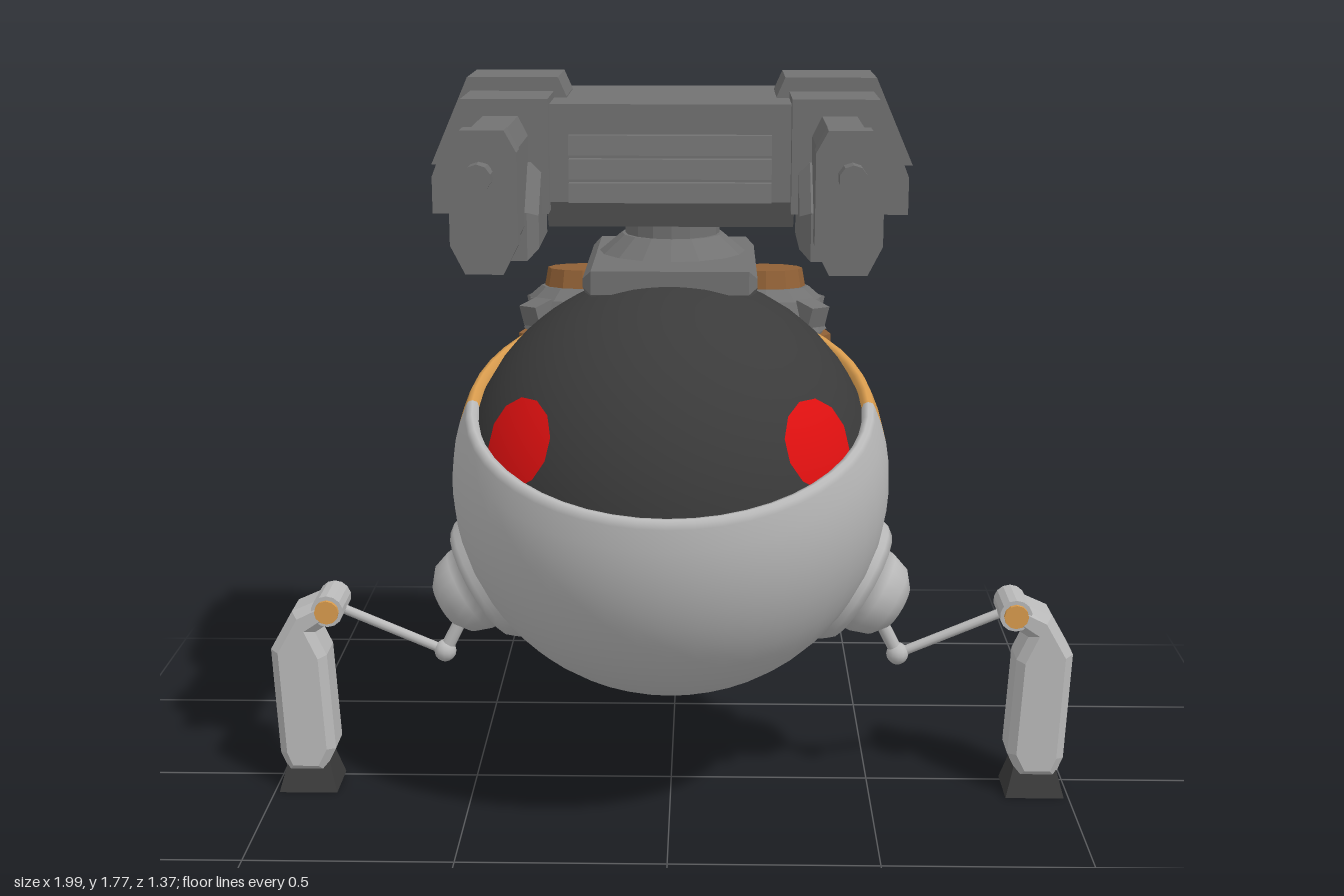
import * as THREE from 'three';

const mat = (name, color) => Object.assign(new THREE.MeshStandardMaterial({ color }), { name });

export function createModel() {
  const M = {
    shell: mat('light grey', 0xbababa), orange: mat('orange', 0xd99c4e), dark: mat('charcoal', 0x3b3b3b),
    steel: mat('steel grey', 0x727272), brown: mat('brown', 0x916136), green: mat('lime', 0x9ed036),
    red: mat('red', 0xe01010),
  };
  const root = new THREE.Group();
  root.name = 'robot';
  const V = (x, y, z) => new THREE.Vector3(x, y, z);
  const P = (a) => a.map(([x, y]) => new THREE.Vector2(x, y));

  function add(parent, name, geo, material, x = 0, y = 0, z = 0) {
    const m = new THREE.Mesh(geo, material);
    m.name = name;
    m.position.set(x, y, z);
    parent.add(m);
    return m;
  }
  function group(parent, name, x = 0, y = 0, z = 0) {
    const g = new THREE.Group();
    g.name = name;
    g.position.set(x, y, z);
    parent.add(g);
    return g;
  }
  function flat(g) {
    const f = g.toNonIndexed();
    f.computeVertexNormals();
    return f;
  }
  // Outline in x,y extruded from z0 to z1, edges bevelled inward
  function prism(pts, z0, z1, b = 0) {
    const g = new THREE.ExtrudeGeometry(new THREE.Shape(P(pts)), {
      depth: z1 - z0 - 2 * b, bevelEnabled: b > 0, bevelThickness: b, bevelSize: b, bevelOffset: -b, bevelSegments: 1,
    });
    return g.translate(0, 0, z0 + b);
  }
  // Outline in z,y extruded across x, centred
  const sideways = (pts, w, b = 0) => prism(pts, -w / 2, w / 2, b).rotateY(-Math.PI / 2);
  const box = (w, h, d) => new THREE.BoxGeometry(w, h, d);
  const cyl = (rt, rb, h, n) => flat(new THREE.CylinderGeometry(rt, rb, h, n));
  function taperBox(w, h, d, kx, kz) {
    const g = box(w, h, d), p = g.attributes.position;
    for (let i = 0; i < p.count; i++)
      if (p.getY(i) > 0) { p.setX(i, p.getX(i) * kx); p.setZ(i, p.getZ(i) * kz); }
    return flat(g);
  }
  function rod(parent, name, a, b, r, material) {
    const m = add(parent, name, new THREE.CylinderGeometry(r, r, a.distanceTo(b), 10), material);
    m.position.copy(a).lerp(b, 0.5);
    m.quaternion.setFromUnitVectors(V(0, 1, 0), b.clone().sub(a).normalize());
  }

  // Round body: dark dome inside a tilted two-tone shell with a rolled rim
  const body = group(root, 'body', 0, 0.82, 0.07);
  body.rotation.x = 0.35;
  add(body, 'dome', new THREE.SphereGeometry(0.5, 40, 28), M.dark);
  const profile = [], R = 0.53, rim = 1.17;
  for (let i = 0; i <= 20; i++) {
    const t = Math.PI + (rim - Math.PI) * i / 20;
    profile.push([R * Math.sin(t), R * Math.cos(t)]);
  }
  profile[0][0] = 0;
  profile.push([0.482, 0.219], [0.471, 0.223], [0.46, 0.218], [0.455, 0.2]);
  const half = (start) => new THREE.LatheGeometry(P(profile), 24, start, Math.PI);
  add(body, 'frontShell', half(-Math.PI / 2), M.shell);
  add(body, 'backShell', half(Math.PI / 2), M.orange);

  // Eyes, legs, guns and canisters, once for each side
  for (const s of [1, -1]) {
    const mx = (a) => a.map(([x, y]) => [x * s, y]);
    const up = V(0, 1, 0);

    const eye = add(root, 'eye', new THREE.SphereGeometry(0.507, 12, 4, 0, Math.PI * 2, 0, 0.21), M.red, 0, 0.82, 0.07);
    eye.quaternion.setFromUnitVectors(up, V(0.68 * s, 0.34, 0.64).normalize());

    // Hip socket pointing outward and down
    const leg = group(root, 'leg');
    const hub = add(leg, 'hipSocket', new THREE.LatheGeometry(P([
      [0.19, 0.43], [0.165, 0.525], [0.15, 0.545], [0.112, 0.55], [0.11, 0.58], [0.095, 0.625], [0.06, 0.655], [0, 0.668],
    ]), 20), M.shell, 0, 0.82, 0.05);
    hub.quaternion.setFromUnitVectors(up, V(0.86 * s, -0.515, 0).normalize());

    // Thin linkage
    const hip = V(0.51 * s, 0.47, 0.045), knee = V(0.567 * s, 0.358, 0.045), ankle = V(0.85 * s, 0.48, 0.045);
    rod(leg, 'hipRod', hip, knee, 0.017, M.shell);
    rod(leg, 'kneeRod', knee, ankle, 0.012, M.shell);
    add(leg, 'kneeBall', new THREE.SphereGeometry(0.028, 12, 8), M.shell, knee.x, knee.y, knee.z);
    add(leg, 'anklePin', cyl(0.03, 0.03, 0.145, 12).rotateX(Math.PI / 2), M.orange, ankle.x, ankle.y, ankle.z);
    add(leg, 'ankleRing', cyl(0.04, 0.04, 0.125, 14).rotateX(Math.PI / 2), M.shell, ankle.x, ankle.y, ankle.z);

    // Lower leg and foot
    add(leg, 'lowerLeg', prism(mx([
      [0.85, 0.515], [0.94, 0.475], [0.997, 0.375], [0.985, 0.1], [0.965, 0.05], [0.875, 0.05],
      [0.845, 0.11], [0.858, 0.36], [0.885, 0.42], [0.84, 0.45],
    ]), -0.02, 0.11, 0.02), M.shell);
    add(leg, 'foot', taperBox(0.146, 0.1, 0.136, 0.62, 0.5), M.dark, 0.915 * s, 0.05, 0.048);

    // Side pod with raised sleeve
    const arm = group(root, 'weapon');
    add(arm, 'sidePod', prism(mx([[0.28, 1.743], [0.48, 1.743], [0.55, 1.565], [0.55, 1.48], [0.28, 1.48]]), -0.385, 0.17), M.steel);
    add(arm, 'podSleeve', prism(mx([[0.27, 1.775], [0.487, 1.775], [0.578, 1.567], [0.25, 1.567], [0.25, 1.73]]), -0.262, -0.038), M.steel);

    // Gun
    const gun = [[-0.04, 0.15], [0.04, 0.15], [0.062, 0.105], [0.062, -0.085], [0.035, -0.145],
      [-0.035, -0.145], [-0.062, -0.085], [-0.062, 0.105]];
    add(arm, 'gunBody', prism(gun, 0.1, 0.51), M.steel, 0.388 * s, 1.555, 0);
    add(arm, 'gunMuzzle', prism(gun.map(([x, y]) => [x * 1.17, y * 1.04]), 0.505, 0.575), M.steel, 0.388 * s, 1.56, 0);
    add(arm, 'gunMount', sideways([[0.29, 1.39], [0.29, 1.5], [0.19, 1.6], [0, 1.6], [0, 1.39]], 0.184, 0.025), M.steel, 0.388 * s);
    add(arm, 'barrel', cyl(0.021, 0.021, 0.1, 10).rotateX(Math.PI / 2), M.steel, 0.388 * s, 1.628, 0.61);
    add(arm, 'barrelTip', cyl(0.03, 0.03, 0.05, 10).rotateX(Math.PI / 2), M.steel, 0.388 * s, 1.628, 0.66);

    // Canister, leaning back slightly
    const can = group(root, 'canister', 0.24 * s, 0.45, -0.463);
    can.rotation.x = -0.07;
    add(can, 'canisterBase', cyl(0.162, 0.135, 0.06, 12), M.steel, 0, 0.03, 0);
    add(can, 'canisterCore', cyl(0.155, 0.155, 0.62, 16), M.steel, 0, 0.36, 0);
    const a = s > 0 ? Math.PI * 0.75 : Math.PI * 1.25, gap = 0.37;
    add(can, 'canisterCover', flat(new THREE.CylinderGeometry(0.178, 0.178, 0.56, 9, 1, false, a + gap, Math.PI * 2 - 2 * gap)), M.brown, 0, 0.335, 0);
    add(can, 'glowStrip', flat(new THREE.CylinderGeometry(0.168, 0.168, 0.5, 2, 1, false, a - 0.29, 0.58)), M.green, 0, 0.33, 0);
    for (const side of [-1, 1]) for (let i = 0; i < 7; i++) {
      const t = a + side * 0.33;
      const tooth = add(can, 'stripTooth', box(0.022, 0.045, 0.02), M.dark, 0.161 * Math.sin(t), 0.12 + i * 0.07, 0.161 * Math.cos(t));
      tooth.rotation.y = t;
    }
    add(can, 'shoulder', cyl(0.135, 0.165, 0.05, 12), M.steel, 0, 0.65, 0);
    add(can, 'collar', cyl(0.15, 0.165, 0.05, 10), M.steel, 0, 0.685, 0);
    add(can, 'neck', cyl(0.115, 0.15, 0.03, 12), M.steel, 0, 0.725, 0);
    add(can, 'cap', cyl(0.098, 0.108, 0.055, 12), M.brown, 0, 0.76, 0);
    for (let i = 0; i < 4; i++) {
      const t = Math.PI / 4 + i * Math.PI / 2;
      const lug = add(can, 'collarLug', box(0.065, 0.055, 0.06), M.steel, 0.165 * Math.sin(t), 0.68, 0.165 * Math.cos(t));
      lug.rotation.set(0.3, t, 0, 'YXZ');
    }
  }
  add(root, 'canisterLink', box(0.24, 0.3, 0.13), M.brown, 0, 0.72, -0.505);

  // Turret: back bracket, swivel neck and central housing
  const turret = group(root, 'turret');
  add(turret, 'bracket', sideways([
    [0.17, 1.345], [-0.35, 1.345], [-0.42, 1.16], [-0.48, 1.04], [-0.48, 0.92], [-0.3, 0.92], [-0.1, 1.2], [0.17, 1.29],
  ], 0.41, 0.02), M.steel);
  add(turret, 'swivelBase', cyl(0.125, 0.185, 0.05, 16), M.steel, 0, 1.365, -0.14);
  add(turret, 'swivelNeck', cyl(0.116, 0.116, 0.06, 16), M.steel, 0, 1.41, -0.14);
  add(turret, 'housing', sideways([
    [0.12, 1.727], [-0.37, 1.727], [-0.383, 1.7], [-0.383, 1.48], [-0.33, 1.432], [0.05, 1.432], [0.12, 1.5],
  ], 0.58), M.steel);
  for (let i = 0; i < 3; i++)
    add(turret, 'louvre', taperBox(0.47, 0.045, 0.05, 1, 0.7), M.steel, 0, 1.635 - i * 0.055, 0.128);
  return root;
}
